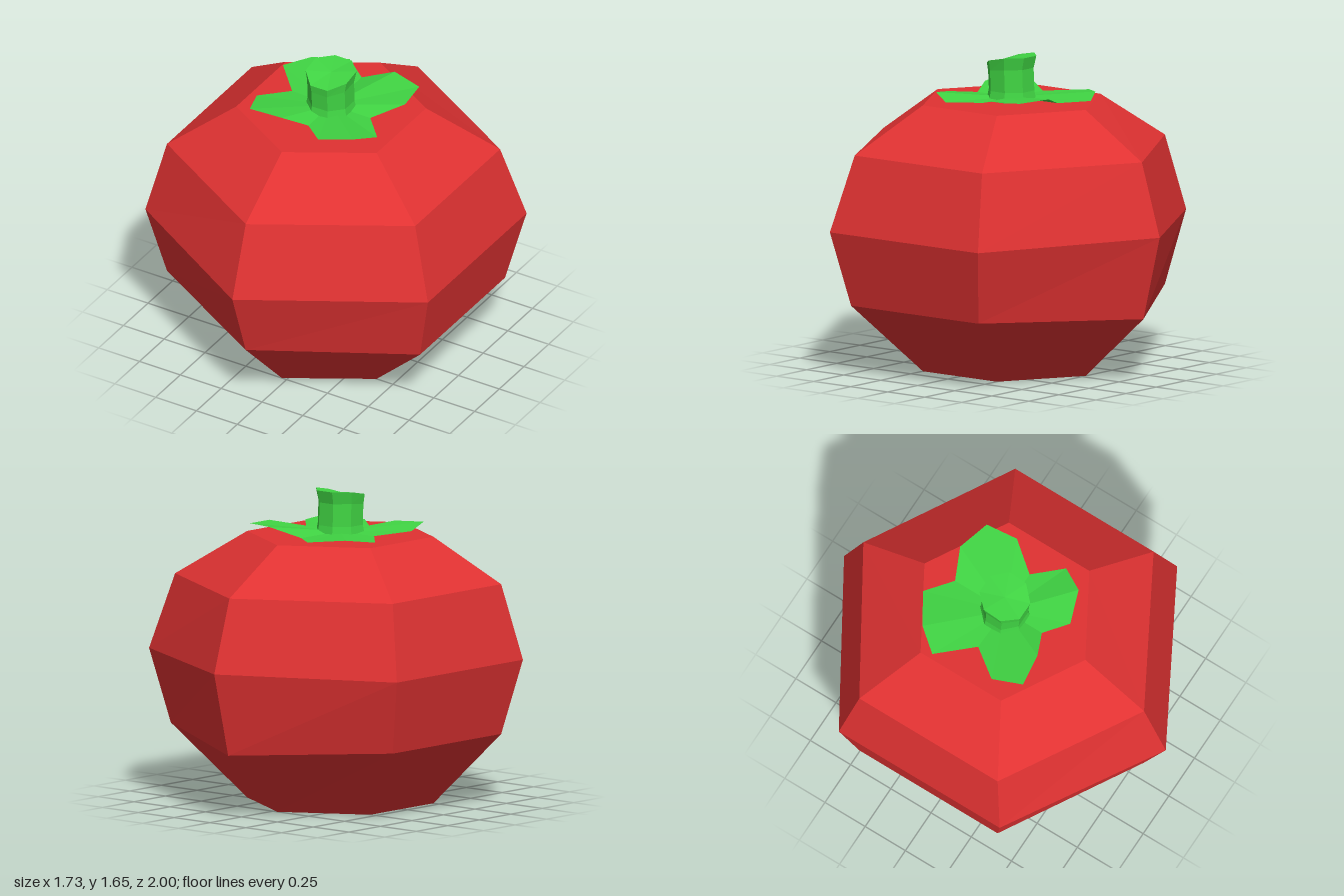
import * as THREE from 'three';

const red = new THREE.MeshStandardMaterial({ color: 0xe03232, flatShading: true });
red.name = 'tomato red';
const green = new THREE.MeshStandardMaterial({ color: 0x40d443, flatShading: true, side: THREE.DoubleSide });
green.name = 'leaf green';

const AXIS = -0.03; // the fruit leans slightly off centre

// Skin stacked rings (bottom to top, counter-clockwise seen from above) and cap both ends.
function loft(rings) {
  const pos = [];
  const tri = (a, b, c) => pos.push(...a, ...b, ...c);
  const n = rings[0].length;
  const centre = (r) => [0, 1, 2].map((k) => r.reduce((s, p) => s + p[k], 0) / n);
  const low = rings[0], high = rings[rings.length - 1];
  for (let i = 0; i < n; i++) {
    const j = (i + 1) % n;
    for (let k = 0; k < rings.length - 1; k++) {
      const a = rings[k], b = rings[k + 1];
      tri(a[i], a[j], b[j]);
      tri(a[i], b[j], b[i]);
    }
    tri(centre(low), low[j], low[i]);
    tri(centre(high), high[i], high[j]);
  }
  return geometry(pos);
}

function geometry(pos) {
  const g = new THREE.BufferGeometry();
  g.setAttribute('position', new THREE.Float32BufferAttribute(pos, 3));
  g.computeVertexNormals();
  return g;
}

function part(name, geo, material) {
  const mesh = new THREE.Mesh(geo, material);
  mesh.name = name;
  return mesh;
}

// Six-sided fruit: each ring has a front, back and side radius of its own.
function fruit() {
  const rows = [
    // front z, front y, back z, back y, left x, right x, side z, side y
    [0.5, 0, -0.5, 0, -0.46, 0.4, 0.25, 0],
    [0.865, 0.38, -0.89, 0.345, -0.775, 0.775, 0.43, 0.38],
    [1, 0.77, -1, 0.79, -0.865, 0.865, 0.5, 0.775],
    [0.865, 1.168, -0.88, 1.178, -0.775, 0.745, 0.43, 1.175],
    [0.5, 1.415, -0.5, 1.415, -0.46, 0.4, 0.25, 1.415],
  ];
  return loft(rows.map(([fz, fy, bz, by, lx, rx, sz, sy]) => [
    [AXIS, fy, fz], [rx, sy, sz], [rx, sy, -sz],
    [AXIS, by, bz], [lx, sy, -sz], [lx, sy, sz],
  ]));
}

// Eight-sided stem, pinched at the waist, with a cut top sloping down to the front.
function stem() {
  const rows = [[1.417, 0.125, 0], [1.47, 0.115, 0], [1.59, 0.115, 0.005], [1.655, 0.125, 0]];
  return loft(rows.map(([y, r, dz], k) => Array.from({ length: 8 }, (_, i) => {
    const a = (i + 0.5) * Math.PI / 4;
    const z = r * Math.cos(a) / Math.cos(Math.PI / 8);
    const drop = k > 1 ? Math.max(0, z) * (k === 3 ? 0.4 : 0.25) : 0;
    return [AXIS + r * Math.sin(a) / Math.cos(Math.PI / 8), y - drop, z + dz];
  })));
}

// Four blunt leaves joined at low notches.
function calyx() {
  const rim = [
    [-0.03, 1.43, 0.23], [0.09, 1.44, 0.33], [0.265, 1.465, 0.27], [0.34, 1.435, 0.145],
    [0.21, 1.43, 0], [0.33, 1.47, -0.155], [0.31, 1.475, -0.33], [0.13, 1.48, -0.38],
    [-0.03, 1.43, -0.31], [-0.17, 1.435, -0.42], [-0.34, 1.45, -0.315], [-0.44, 1.435, -0.19],
    [-0.275, 1.43, -0.01], [-0.395, 1.45, 0.15], [-0.34, 1.475, 0.31], [-0.16, 1.465, 0.285],
  ];
  const pos = [];
  rim.forEach((p, i) => pos.push(AXIS, 1.43, 0, ...p, ...rim[(i + 1) % rim.length]));
  return geometry(pos);
}

export function createModel() {
  const model = new THREE.Group();
  model.name = 'tomato';
  model.add(
    part('fruit', fruit(), red),
    part('calyx', calyx(), green),
    part('stem', stem(), green),
  );
  return model;
}
